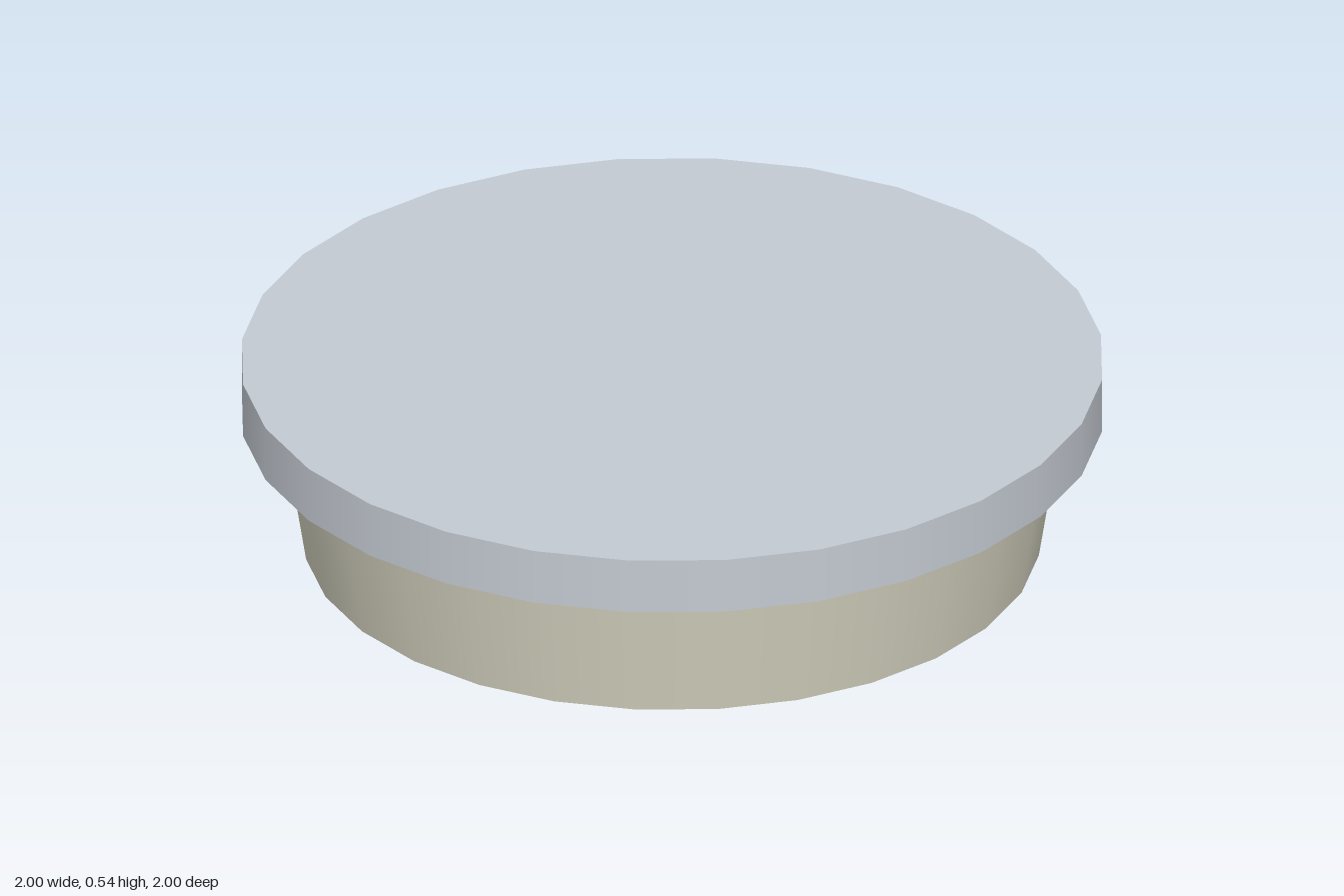
import * as THREE from 'three';

export function createModel() {
  const group = new THREE.Group();
  const grey = new THREE.MeshStandardMaterial({ color: 0xc4cad2 });
  grey.name = 'pale grey';
  const cream = new THREE.MeshStandardMaterial({ color: 0xd5d3c0 });
  cream.name = 'warm cream';

  // Round, capped section between two heights
  const section = (name, material, rTop, rBottom, y0, y1, sides) => {
    const geometry = new THREE.CylinderGeometry(rTop, rBottom, y1 - y0, sides);
    const mesh = new THREE.Mesh(geometry, material);
    mesh.name = name;
    mesh.position.y = (y0 + y1) / 2;
    group.add(mesh);
  };

  section('mountingPlate', grey, 1, 1, 0.4, 0.535, 28);
  section('taperedBody', cream, 0.905, 0.853, 0.068, 0.4, 28);
  section('centreNub', grey, 0.086, 0.07, 0, 0.068, 16);

  return group;
}
